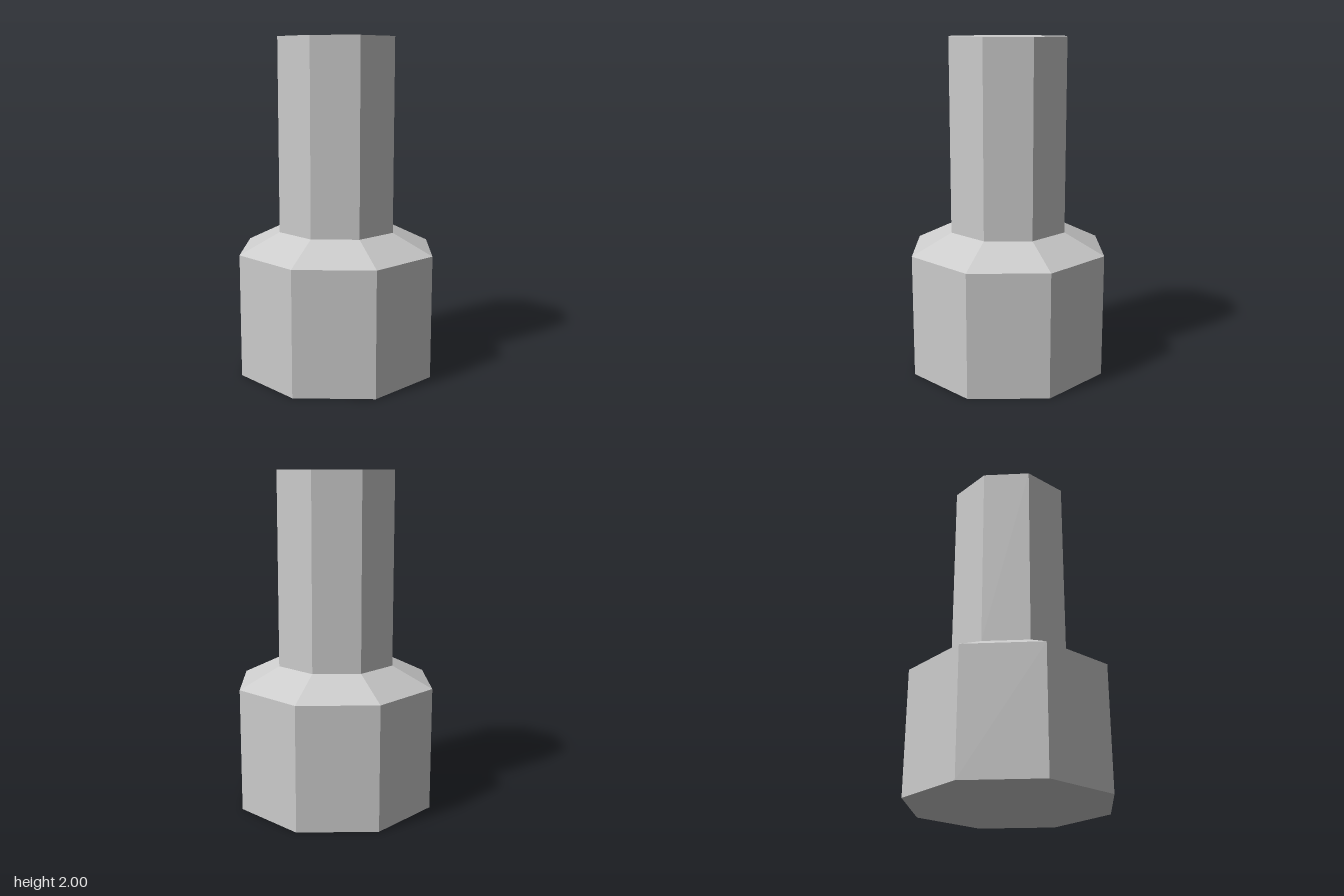
import * as THREE from 'three';

const SIDES = 8;
const BASE_RADIUS = 0.61, SHAFT_RADIUS = 0.363;
const BASE_TOP = 0.74, SHOULDER_TOP = 0.86, HEIGHT = 2;

export function createModel() {
  const group = new THREE.Group();
  const material = new THREE.MeshStandardMaterial({ color: 0xcccccc, flatShading: true });

  // Octagonal section between two heights, open where it meets its neighbour
  const addSection = (name, bottomRadius, topRadius, y0, y1) => {
    const geometry = new THREE.CylinderGeometry(topRadius, bottomRadius, y1 - y0, SIDES, 1, true);
    const mesh = new THREE.Mesh(geometry, material);
    mesh.name = name;
    mesh.position.y = (y0 + y1) / 2;
    group.add(mesh);
  };

  // Flat octagonal end; corners line up with the x and z axes
  const addCap = (name, radius, y, facing) => {
    const mesh = new THREE.Mesh(new THREE.CircleGeometry(radius, SIDES), material);
    mesh.name = name;
    mesh.position.y = y;
    mesh.rotation.x = -facing * Math.PI / 2;
    group.add(mesh);
  };

  addCap('baseBottom', BASE_RADIUS, 0, -1);
  addSection('base', BASE_RADIUS, BASE_RADIUS, 0, BASE_TOP);
  addSection('shoulder', BASE_RADIUS, SHAFT_RADIUS, BASE_TOP, SHOULDER_TOP);
  addSection('shaft', SHAFT_RADIUS, SHAFT_RADIUS, SHOULDER_TOP, HEIGHT);
  addCap('shaftTop', SHAFT_RADIUS, HEIGHT, 1);

  return group;
}
